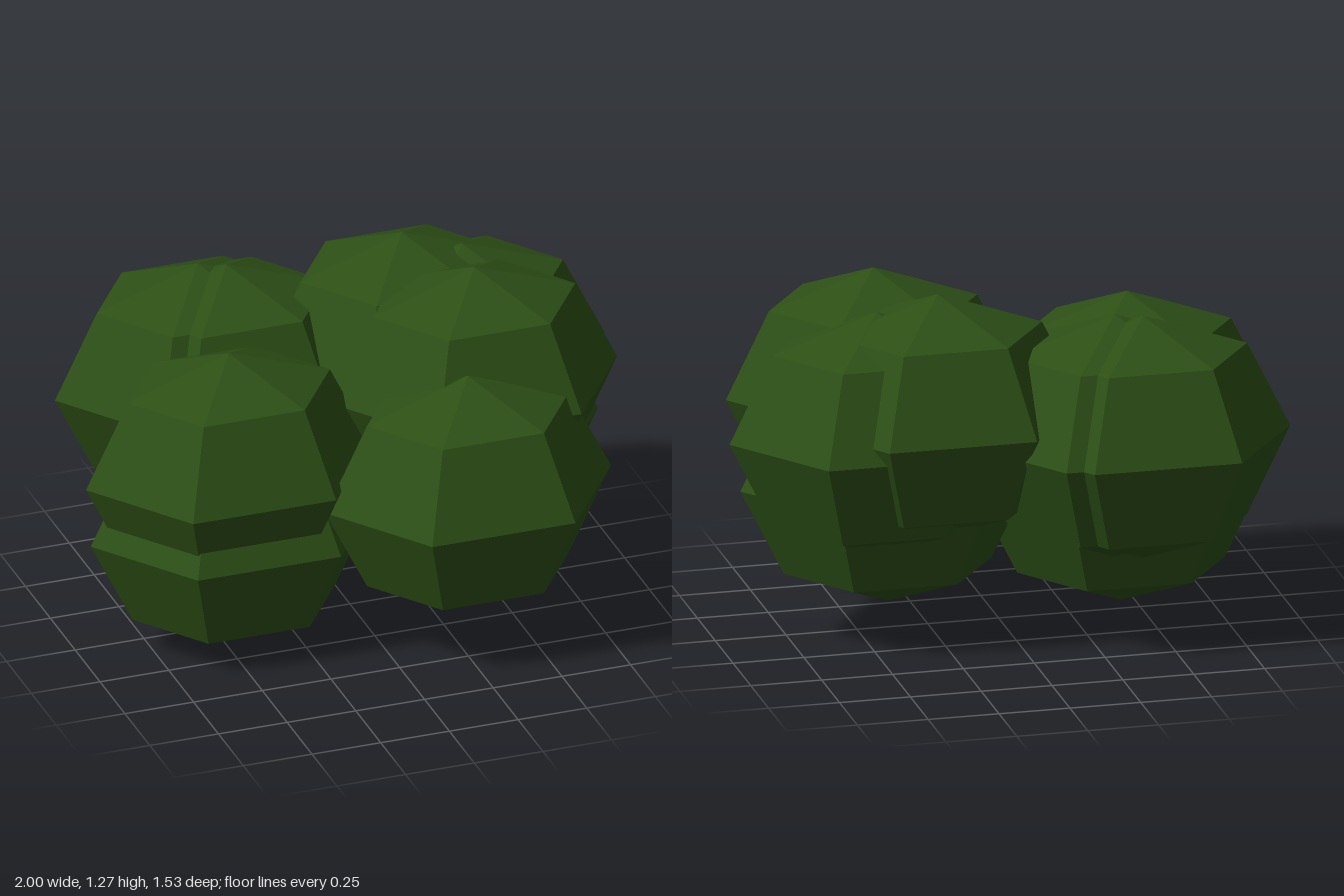
import * as THREE from 'three';

// Centres of the leafy clumps, which all share one size
const CLUMPS = {
  frontClump: [0.285, 0.592, 0.4],
  upperLeftClump: [0.42, 0.837, 0.09],
  lowerLeftClump: [0.41, 0.56, -0.075],
  outerLeftClump: [0.48, 0.775, -0.2],
  backLeftClump: [0.275, 0.835, -0.24],
  upperRightClump: [-0.48, 0.673, 0.108],
  lowerRightClump: [-0.455, 0.44, 0.087],
  backRightClump: [-0.408, 0.755, -0.403],
  innerBackRightClump: [-0.318, 0.755, -0.363],
};

export function createModel() {
  const model = new THREE.Group();
  model.name = 'bush';

  const leafGreen = new THREE.MeshStandardMaterial({ color: 0x2d5016, flatShading: true });
  leafGreen.name = 'leaf green';

  // Six-sided, four-band ball, widest along x
  const clump = new THREE.SphereGeometry(1, 6, 4);
  clump.scale(0.52, 0.437, 0.418);

  for (const [name, centre] of Object.entries(CLUMPS)) {
    const mesh = new THREE.Mesh(clump, leafGreen);
    mesh.name = name;
    mesh.position.set(...centre);
    model.add(mesh);
  }
  return model;
}
